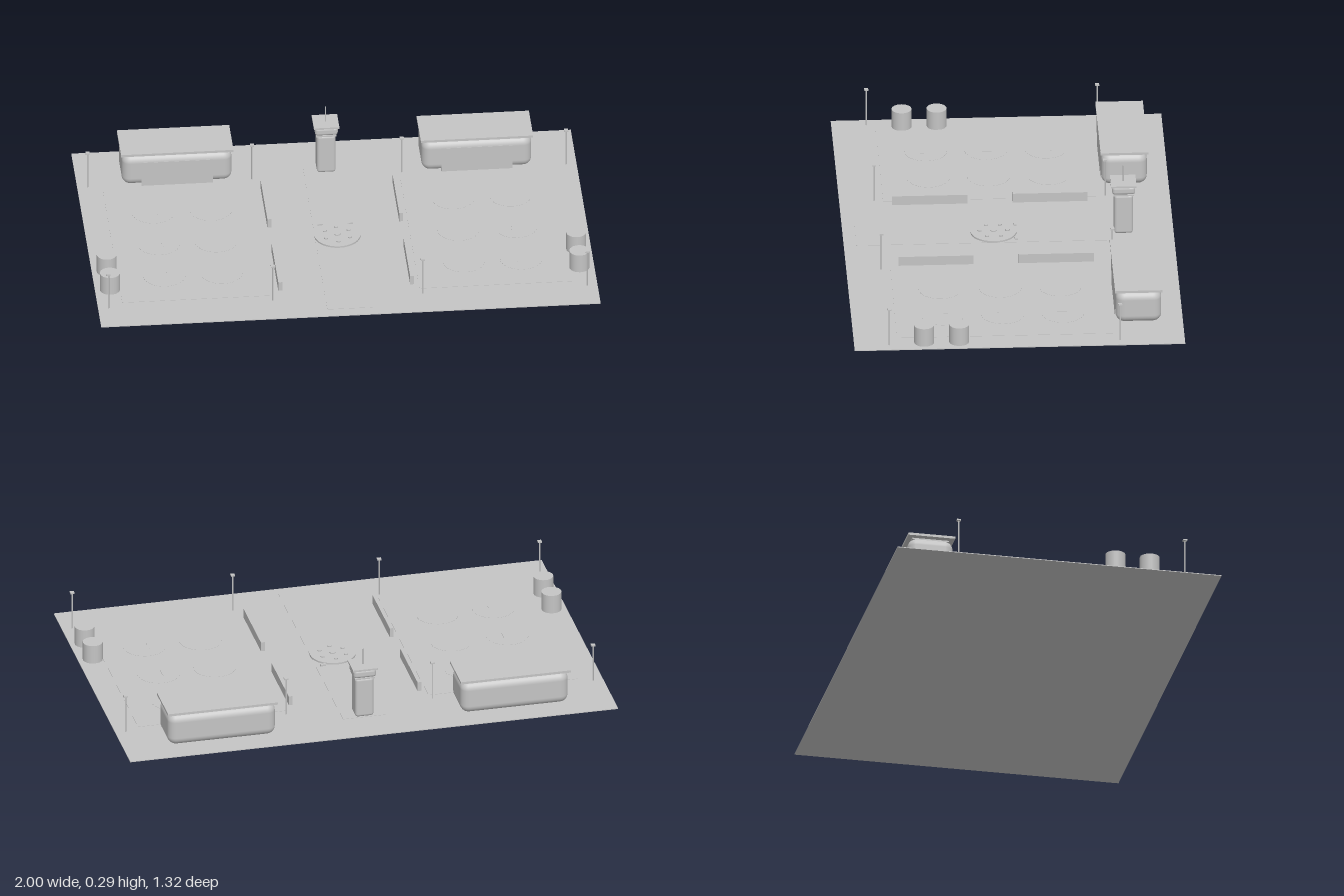
import * as THREE from 'three';
import { RoundedBoxGeometry } from 'three/addons/geometries/RoundedBoxGeometry.js';

const grey = new THREE.MeshStandardMaterial({ color: 0xc4c4c4 });
grey.name = 'plain grey';

export function createModel() {
  const model = new THREE.Group();
  model.name = 'airfield';

  const add = (name, geometry, x, y, z, parent = model) => {
    const mesh = new THREE.Mesh(geometry, grey);
    mesh.name = name;
    mesh.position.set(x, y, z);
    parent.add(mesh);
    return mesh;
  };
  // Both helpers stand the shape on height y
  const box = (name, w, h, d, x, y, z, parent) =>
    add(name, new THREE.BoxGeometry(w, h, d), x, y + h / 2, z, parent);
  const rounded = (name, w, h, d, r, x, y, z, parent) =>
    add(name, new RoundedBoxGeometry(w, h, d, 4, r), x, y + h / 2, z, parent);
  const drum = (name, r, h, x, y, z, parent, sides = 24) =>
    add(name, new THREE.CylinderGeometry(r, r, h, sides), x, y + h / 2, z, parent);

  // Ground and central strip
  box('ground', 2, 0.003, 1.32, 0, 0, 0);
  box('runway', 0.18, 0.0012, 1.11, 0, 0.003, 0.055);

  for (const side of [-1, 1]) {
    // Parking apron with six round pads
    box('apron', 0.61, 0.0012, 0.86, side * 0.595, 0.003, 0.055);
    for (const z of [-0.185, 0.055, 0.295]) {
      for (const x of [0.485, 0.715]) {
        drum('pad', 0.085, 0.0008, side * x, 0.0042, z, model, 32);
      }
      box('padMark', 0.006, 0.001, 0.045, side * 0.7, 0.005, z);
    }

    // Hangar
    const hangar = new THREE.Group();
    hangar.name = 'hangar';
    hangar.position.set(side * 0.6, 0, -0.483);
    model.add(hangar);
    rounded('hangarBody', 0.44, 0.137, 0.182, 0.034, 0, 0.003, 0, hangar);
    box('hangarDoor', 0.285, 0.107, 0.008, 0, 0.003, 0.088, hangar);
    box('roofSupport', 0.4, 0.008, 0.15, 0, 0.137, 0, hangar);
    box('hangarRoof', 0.45, 0.01, 0.19, 0, 0.143, 0, hangar);

    // Low barriers beside the strip
    for (const z of [-0.18, 0.3]) box('barrier', 0.016, 0.039, 0.3, side * 0.264, 0.003, z);

    // Storage tanks
    for (const z of [0.24, 0.38]) drum('tank', 0.04, 0.078, side * 0.94, 0.003, z);

    // Lamp posts
    for (const x of [0.3, 0.958]) {
      for (const z of [-0.402, 0.52]) {
        drum('lampPost', 0.003, 0.157, side * x, 0.003, z, model, 8);
        box('lampHead', 0.016, 0.006, 0.016, side * x, 0.159, z);
      }
    }
    box('stripMarker', 0.022, 0.008, 0.012, side * 0.06, 0.003, -0.03);
  }

  // Control tower
  const tower = new THREE.Group();
  tower.name = 'controlTower';
  tower.position.set(0, 0, -0.46);
  model.add(tower);
  rounded('towerShaft', 0.075, 0.172, 0.075, 0.012, 0, 0.003, 0, tower);
  box('towerCollar', 0.082, 0.006, 0.082, 0, 0.173, 0, tower);
  rounded('towerCab', 0.092, 0.036, 0.092, 0.012, 0, 0.18, 0, tower);
  box('cabRoof', 0.102, 0.008, 0.102, 0, 0.214, 0, tower);
  drum('antenna', 0.0025, 0.068, 0, 0.222, 0, tower, 8);

  // Round central platform with a ring of lights
  const platform = new THREE.Group();
  platform.name = 'platform';
  platform.position.set(0, 0, 0.058);
  model.add(platform);
  drum('platformDisc', 0.092, 0.008, 0, 0.003, 0, platform, 32);
  drum('platformHub', 0.012, 0.004, 0, 0.011, 0, platform, 12);
  for (let i = 0; i < 6; i++) {
    const a = (i / 6) * Math.PI * 2;
    drum('platformLight', 0.008, 0.005, Math.sin(a) * 0.055, 0.011, Math.cos(a) * 0.055, platform, 12);
  }
  return model;
}
